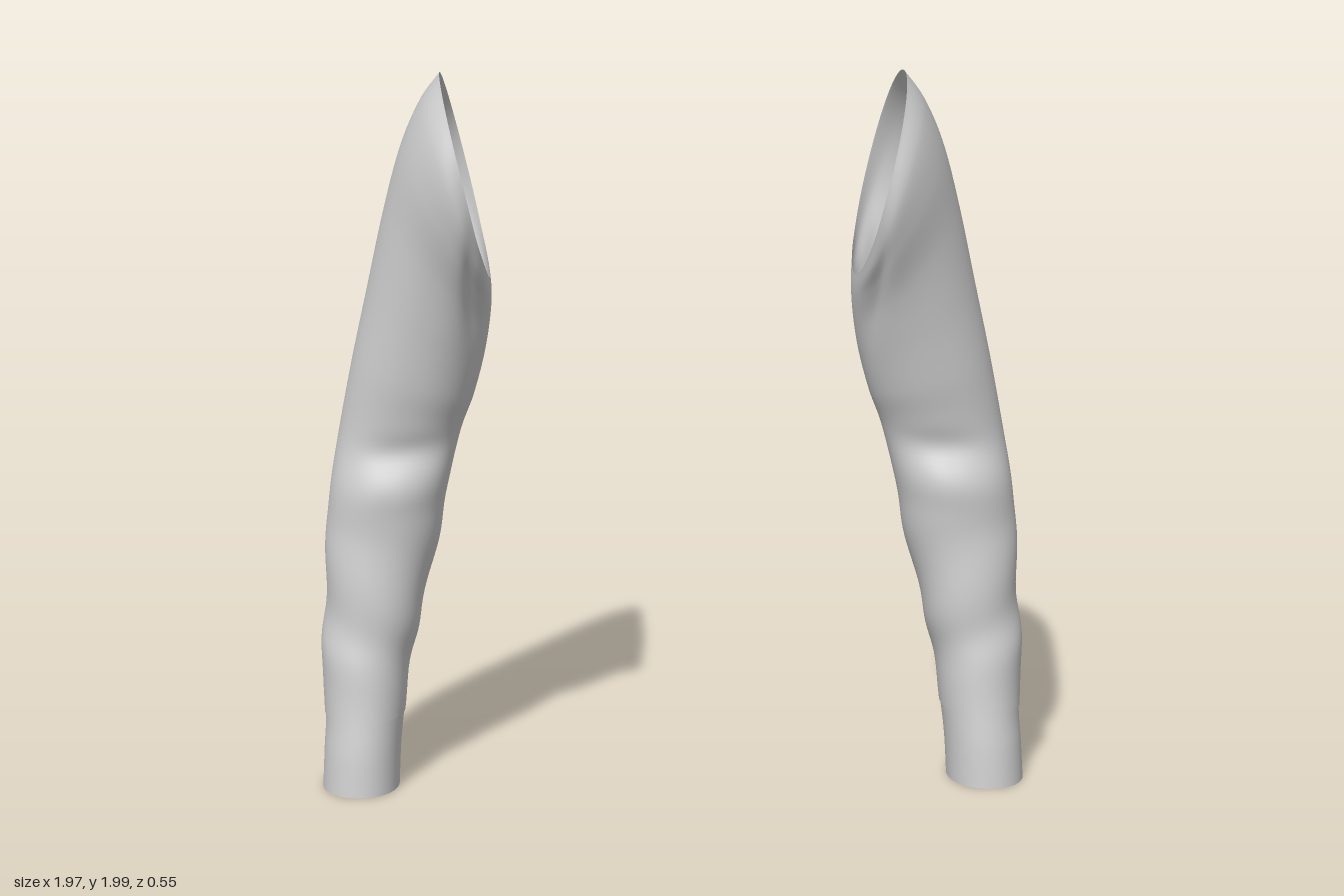
import * as THREE from 'three';

// Rings from cuff to armhole: outer x, outer y, inner x, inner y, front z, back z
const RINGS = [
  [0.99, 0.015, 0.77, 0.015, 0.25, -0.035],
  [0.985, 0.12, 0.765, 0.12, 0.235, -0.055],
  [0.98, 0.22, 0.755, 0.22, 0.215, -0.085],
  [0.987, 0.36, 0.738, 0.36, 0.19, -0.12],
  [0.977, 0.5, 0.705, 0.5, 0.17, -0.14],
  [0.97, 0.7, 0.655, 0.7, 0.153, -0.165],
  [0.957, 0.84, 0.63, 0.84, 0.145, -0.175],
  [0.93, 1.0, 0.59, 1.0, 0.117, -0.185],
  [0.89, 1.2, 0.553, 1.1, 0.14, -0.203],
  [0.845, 1.4, 0.523, 1.21, 0.165, -0.22],
  [0.795, 1.62, 0.507, 1.3, 0.2, -0.237],
  [0.745, 1.8, 0.5, 1.37, 0.25, -0.26],
  [0.69, 1.925, 0.5, 1.41, 0.278, -0.274],
  [0.635, 2.0, 0.503, 1.44, 0.272, -0.265],
];
const LAST = RINGS.length - 1;

// Smooth interpolation between neighbouring rings; v runs 0..LAST
function ringAt(v) {
  const i = Math.min(Math.floor(v), LAST - 1), t = v - i;
  const at = (k) => RINGS[THREE.MathUtils.clamp(k, 0, LAST)];
  const [a, b, c, d] = [at(i - 1), at(i), at(i + 1), at(i + 2)];
  return b.map((q, k) => q + 0.5 * t * (c[k] - a[k] +
    t * (2 * a[k] - 5 * q + 4 * c[k] - d[k] + t * (3 * (q - c[k]) + d[k] - a[k]))));
}

const bump = (x, mid, width) => Math.exp(-(((x - mid) / width) ** 2));

// Cloth folds: elbow crease, armpit groove, forearm slack
function fold(a, v) {
  const elbow = -0.016 * bump(v, 6.75, 0.28) * bump(a, 1.7, 0.7) + 0.01 * bump(v, 6.15, 0.4) * bump(a, 1.7, 0.8);
  const armpit = -0.024 * bump(a, 2.25 - (v - 11) * 0.12, 0.28) * bump(v, 11, 1.5);
  const backArmpit = -0.014 * bump(a, -2.2, 0.3) * bump(v, 10.8, 1.4);
  const forearm = 0.005 * Math.sin(v * 4 + a * 2) * bump(v, 4, 1.2);
  return elbow + armpit + backArmpit + forearm;
}

// Point on the sleeve: angle 0 is the outer side, +90 degrees the front
function sleevePoint(side, a, v, lift = 0) {
  const [xo, yo, xi, yi, zf, zb] = ringAt(v);
  const power = 0.94;
  const c = Math.sign(Math.cos(a)) * Math.abs(Math.cos(a)) ** power;
  const s = Math.sign(Math.sin(a)) * Math.abs(Math.sin(a)) ** power;
  const off = lift + fold(a, v);
  return [
    side * ((xo + xi) / 2 + c * (xo - xi) / 2 + Math.cos(a) * off),
    (yo + yi) / 2 + c * (yo - yi) / 2,
    (zf + zb) / 2 + s * (zf - zb) / 2 + Math.sin(a) * off,
  ];
}

// Grid of quads over a range of the sleeve; a full turn is welded shut
function patch(name, side, a0, a1, v0, v1, nu, nv, lift, material) {
  const closed = a1 - a0 > 6.28, cols = closed ? nu : nu + 1;
  const pos = [], idx = [];
  for (let j = 0; j <= nv; j++) {
    for (let i = 0; i < cols; i++) {
      const u = i / nu, w = j / nv;
      const h = typeof lift === 'function' ? lift(u, w) : lift;
      pos.push(...sleevePoint(side, a0 + (a1 - a0) * u, v0 + (v1 - v0) * w, h));
    }
  }
  for (let j = 0; j < nv; j++) {
    for (let i = 0; i < nu; i++) {
      const p = j * cols + i, q = j * cols + (i + 1) % cols, r = p + cols, s = q + cols;
      if (side > 0) idx.push(p, r, q, q, r, s);
      else idx.push(p, q, r, q, s, r);
    }
  }
  const geo = new THREE.BufferGeometry();
  geo.setAttribute('position', new THREE.Float32BufferAttribute(pos, 3));
  geo.setIndex(idx);
  geo.computeVertexNormals();
  const mesh = new THREE.Mesh(geo, material);
  mesh.name = name;
  return mesh;
}

export function createModel() {
  const model = new THREE.Group();
  model.name = 'sleevePair';
  const cloth = new THREE.MeshStandardMaterial({ color: 0xcccccc, side: THREE.DoubleSide });

  for (const side of [1, -1]) {
    const sleeve = new THREE.Group();
    sleeve.name = side > 0 ? 'leftSleeve' : 'rightSleeve';
    const turn = [-Math.PI, Math.PI];
    // Main tube, open at the slanted armhole
    sleeve.add(patch('sleeveBody', side, ...turn, 2, LAST, 72, 110, 0, cloth));
    // Plain cuff, tucked slightly under the sleeve
    sleeve.add(patch('cuff', side, ...turn, 0, 2.06, 72, 16, -0.003, cloth));
    // Placket flap lying over the slit, fading into the cloth at its edges
    const flap = (u, w) => 0.007 * Math.sqrt(Math.sin(Math.PI * u)) * Math.min(1, (1 - w) * 8) + 0.001;
    sleeve.add(patch('placket', side, -0.75, -0.4, 2, 4.4, 10, 24, flap, cloth));
    model.add(sleeve);
  }
  return model;
}
